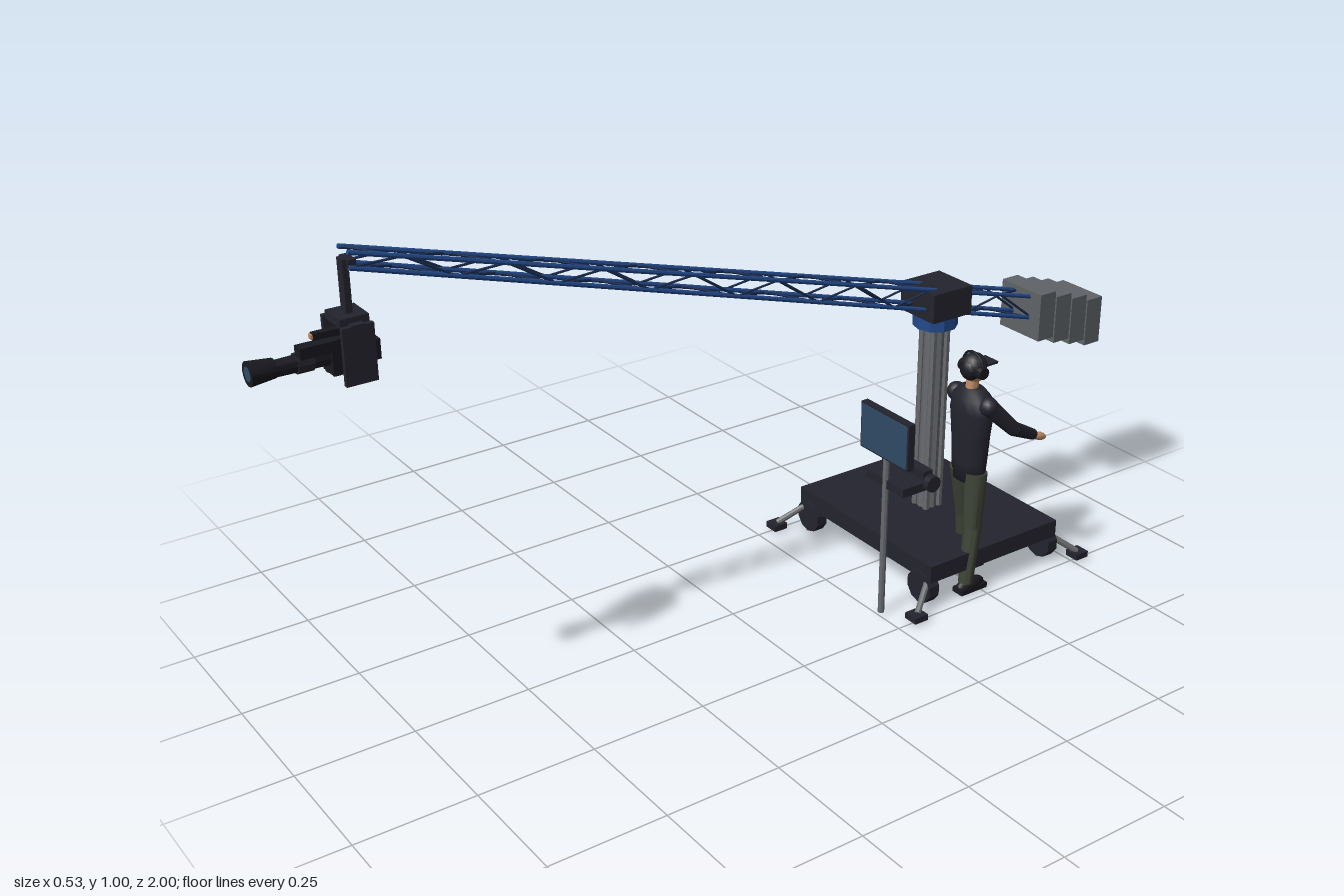
import * as THREE from 'three';
import { toCreasedNormals } from 'three/addons/utils/BufferGeometryUtils.js';

const mat = (name, color) => {
  const m = new THREE.MeshStandardMaterial({ color });
  m.name = name;
  return m;
};
const V = (x, y, z) => new THREE.Vector3(x, y, z);

export function createModel() {
  const dark = mat('charcoal', 0x24242e);
  const black = mat('black', 0x191920);
  const blue = mat('boom blue', 0x234a8c);
  const navy = mat('brace navy', 0x1b2c50);
  const steel = mat('steel', 0x686b6e);
  const iron = mat('weight grey', 0x5f6468);
  const olive = mat('trousers olive', 0x3e4436);
  const skin = mat('skin', 0xc08e68);
  const glass = mat('screen', 0x2f4a64);

  const root = new THREE.Group();
  root.name = 'cameraCrane';
  const group = (name) => {
    const g = new THREE.Group();
    g.name = name;
    root.add(g);
    return g;
  };
  const add = (parent, name, geo, material, p) => {
    const m = new THREE.Mesh(geo, material);
    m.name = name;
    if (p) m.position.copy(p);
    parent.add(m);
    return m;
  };
  // Box given by its min and max corners
  const box = (parent, name, material, x0, x1, y0, y1, z0, z1) =>
    add(parent, name, new THREE.BoxGeometry(x1 - x0, y1 - y0, z1 - z0), material,
      V((x0 + x1) / 2, (y0 + y1) / 2, (z0 + z1) / 2));
  // Tapered rod running from a to b
  const rod = (parent, name, material, a, b, ra, rb = ra, sides = 8) => {
    const d = b.clone().sub(a);
    const geo = toCreasedNormals(new THREE.CylinderGeometry(rb, ra, d.length(), sides), 0.6);
    const m = add(parent, name, geo, material, a.clone().add(b).multiplyScalar(0.5));
    m.quaternion.setFromUnitVectors(V(0, 1, 0), d.normalize());
    return m;
  };
  const ball = (parent, name, material, p, sx, sy, sz) => {
    const m = add(parent, name, new THREE.SphereGeometry(1, 14, 10), material, p);
    m.scale.set(sx, sy, sz);
    return m;
  };
  const PZ = -0.535; // pivot depth

  // Wheeled base with outriggers
  const base = group('base');
  box(base, 'deck', dark, -0.228, 0.228, 0.058, 0.098, -0.717, -0.353);
  for (const sx of [-1, 1]) {
    for (const sz of [-1, 1]) {
      const wz = PZ + sz * 0.173;
      rod(base, 'wheel', dark, V(sx * 0.195, 0.038, wz - 0.013), V(sx * 0.195, 0.038, wz + 0.013), 0.038, 0.038, 10);
      rod(base, 'outrigger', steel, V(sx * 0.205, 0.066, PZ + sz * 0.165), V(sx * 0.248, 0.013, PZ + sz * 0.233), 0.007);
      const fx = sx * 0.248, fz = PZ + sz * 0.235;
      box(base, 'outriggerFoot', dark, fx - 0.017, fx + 0.017, 0, 0.014, fz - 0.017, fz + 0.017);
    }
  }

  // Column and pivot head
  const mast = group('mast');
  rod(mast, 'column', steel, V(0, 0.098, PZ), V(0, 0.54, PZ), 0.024, 0.024, 8);
  for (let i = 0; i < 4; i++) {
    const a = Math.PI / 4 + i * Math.PI / 2;
    const x = Math.cos(a) * 0.026, z = PZ + Math.sin(a) * 0.026;
    rod(mast, 'columnRib', steel, V(x, 0.098, z), V(x, 0.54, z), 0.008, 0.008, 6);
  }
  rod(mast, 'collar', blue, V(0, 0.535, PZ), V(0, 0.565, PZ), 0.049, 0.049, 10);
  box(mast, 'pivotHead', dark, -0.054, 0.054, 0.565, 0.63, -0.588, -0.482);

  // Tapered truss boom: four chords with zigzag bracing
  const boom = group('boom');
  const Z0 = 0.81, Z1 = -1;
  const chord = (sx, top, t) => V(
    sx * (0.019 + 0.007 * t),
    top ? 0.995 - 0.505 * t : 0.967 - 0.53 * t,
    Z0 + (Z1 - Z0) * t);
  for (const sx of [-1, 1])
    for (const top of [true, false])
      rod(boom, 'chord', blue, chord(sx, top, 0), chord(sx, top, 1), 0.0048, 0.0048, 8);
  const bays = 18;
  for (let i = 0; i < bays; i++) {
    const t0 = i / bays, t1 = (i + 1) / bays, s = i % 2 ? 1 : -1;
    rod(boom, 'topBrace', navy, chord(s, true, t0), chord(-s, true, t1), 0.0026, 0.0026, 6);
    rod(boom, 'bottomBrace', navy, chord(-s, false, t0), chord(s, false, t1), 0.0026, 0.0026, 6);
    for (const sx of [-1, 1])
      rod(boom, 'sideBrace', navy, chord(sx, s > 0, t0), chord(sx, s < 0, t1), 0.0026, 0.0026, 6);
  }
  box(boom, 'tipBlock', dark, -0.018, 0.018, 0.962, 0.98, 0.795, 0.81);

  // Stepped counterweight slabs
  const weights = group('counterweights');
  for (let i = 0; i < 4; i++) {
    const z = -0.81 - i * 0.049, y = 0.508 - i * 0.0152;
    box(weights, 'weightSlab', iron, -0.062, 0.062, y - 0.055, y + 0.055, z - 0.0225, z + 0.0225);
  }

  // Hanging camera head
  const cam = group('camera');
  box(cam, 'hangerPost', dark, -0.011, 0.011, 0.875, 0.98, 0.806, 0.818);
  box(cam, 'yokeTop', dark, -0.03, 0.03, 0.866, 0.882, 0.785, 0.84);
  for (const s of [-1, 1]) {
    box(cam, 'yokeArm', dark, s * 0.039 - 0.005, s * 0.039 + 0.005, 0.762, 0.87, 0.783, 0.843);
    rod(cam, 'yokePivot', dark, V(s * 0.02, 0.81, 0.812), V(s * 0.038, 0.81, 0.812), 0.01);
  }
  box(cam, 'yokeBridge', dark, -0.044, 0.044, 0.863, 0.872, 0.8, 0.825);
  box(cam, 'cameraBody', black, -0.022, 0.022, 0.778, 0.845, 0.775, 0.855);
  box(cam, 'battery', black, -0.016, 0.016, 0.787, 0.825, 0.762, 0.775);
  box(cam, 'viewfinder', black, 0.004, 0.028, 0.825, 0.846, 0.845, 0.915);
  box(cam, 'topHandle', black, -0.007, 0.007, 0.845, 0.858, 0.8, 0.88);
  box(cam, 'handleTip', skin, -0.005, 0.005, 0.848, 0.856, 0.88, 0.884);
  rod(cam, 'lensBarrel', black, V(0, 0.81, 0.85), V(0, 0.81, 0.96), 0.017, 0.015, 12);
  rod(cam, 'focusRing', dark, V(0, 0.81, 0.885), V(0, 0.81, 0.915), 0.019, 0.019, 12);
  rod(cam, 'lensHood', black, V(0, 0.812, 0.953), V(0, 0.812, 1), 0.018, 0.023, 12);
  rod(cam, 'lensGlass', glass, V(0, 0.812, 0.999), V(0, 0.812, 1.0005), 0.014, 0.014, 12);

  // Monitor stand with control tray
  const desk = group('monitorStand');
  rod(desk, 'standPole', steel, V(0.181, 0, -0.258), V(0.181, 0.38, -0.258), 0.007);
  box(desk, 'monitorCase', dark, 0.105, 0.257, 0.366, 0.469, -0.266, -0.25);
  box(desk, 'monitorScreen', glass, 0.109, 0.253, 0.37, 0.465, -0.251, -0.248);
  box(desk, 'controlTray', dark, 0.122, 0.24, 0.298, 0.317, -0.335, -0.255);
  box(desk, 'controlPanel', dark, 0.13, 0.232, 0.3, 0.336, -0.34, -0.316);
  for (const s of [-1, 1])
    rod(desk, 'controlWheel', dark, V(0.181 + s * 0.058, 0.315, -0.325), V(0.181 + s * 0.074, 0.315, -0.325), 0.018, 0.018, 12);

  // Standing operator, facing the back
  const man = group('operator');
  const OX = 0.181;
  const torso = add(man, 'jacket', new THREE.LatheGeometry([
    [0, 0.252], [0.041, 0.254], [0.045, 0.3], [0.049, 0.36], [0.055, 0.415],
    [0.05, 0.448], [0.03, 0.466], [0, 0.47],
  ].map(([x, y]) => new THREE.Vector2(x, y)), 14), dark, V(OX, 0, -0.488));
  torso.scale.z = 0.68;
  rod(man, 'neck', skin, V(OX, 0.455, -0.484), V(OX, 0.495, -0.486), 0.014, 0.014, 12);
  ball(man, 'head', skin, V(OX, 0.506, -0.489), 0.023, 0.03, 0.026);
  ball(man, 'hair', black, V(OX, 0.51, -0.479), 0.0245, 0.026, 0.023);
  // Cap with brim
  const cap = add(man, 'cap', new THREE.SphereGeometry(0.028, 14, 6, 0, Math.PI * 2, 0, Math.PI / 2), dark, V(OX, 0.514, -0.487));
  cap.scale.y = 1.05;
  box(man, 'capBrim', dark, OX - 0.02, OX + 0.02, 0.514, 0.519, -0.536, -0.5);
  // Headphones
  add(man, 'headphoneBand', new THREE.TorusGeometry(0.031, 0.0028, 6, 16, Math.PI), black, V(OX, 0.515, -0.484));
  for (const s of [-1, 1]) {
    rod(man, 'earCup', black, V(OX + s * 0.022, 0.508, -0.485), V(OX + s * 0.035, 0.508, -0.485), 0.015, 0.013, 12);

    // Arm reaching backwards
    const shoulder = V(OX + s * 0.05, 0.438, -0.488);
    const elbow = V(OX + s * 0.063, 0.376, -0.55);
    const wrist = V(OX + s * 0.055, 0.341, -0.617);
    ball(man, 'shoulder', dark, shoulder, 0.021, 0.021, 0.021);
    rod(man, 'upperSleeve', dark, shoulder, elbow, 0.02, 0.016, 12);
    ball(man, 'elbow', dark, elbow, 0.016, 0.016, 0.016);
    rod(man, 'lowerSleeve', dark, elbow, wrist, 0.016, 0.012, 12);
    const hand = ball(man, 'hand', skin, V(OX + s * 0.053, 0.331, -0.637), 0.01, 0.009, 0.021);
    hand.rotation.x = -0.35;

    // Leg in mid stride
    const footZ = s > 0 ? -0.462 : -0.522;
    const hip = V(OX + s * 0.022, 0.275, -0.488);
    const knee = V(OX + s * 0.031, 0.15, s > 0 ? -0.48 : -0.512);
    const ankle = V(OX + s * 0.038, 0.022, footZ);
    rod(man, 'thigh', olive, hip, knee, 0.026, 0.02, 12);
    ball(man, 'knee', olive, knee, 0.02, 0.02, 0.02);
    rod(man, 'shin', olive, knee, ankle, 0.02, 0.016, 12);
    box(man, 'shoeSole', black, ankle.x - 0.015, ankle.x + 0.015, 0, 0.012, footZ - 0.05, footZ + 0.022);
    ball(man, 'shoe', black, V(ankle.x, 0.013, footZ - 0.014), 0.0155, 0.018, 0.037);
  }
  return root;
}
